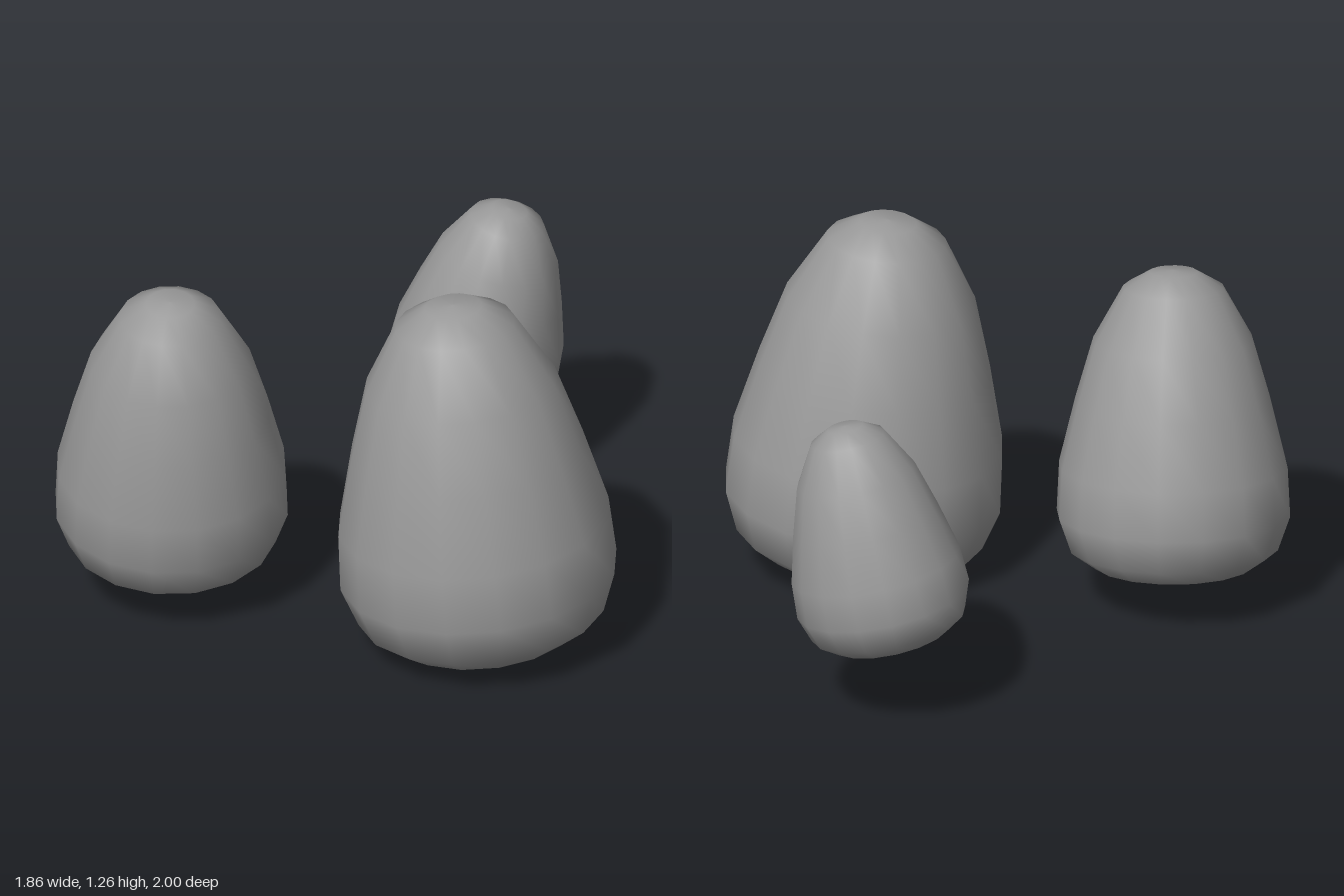
import * as THREE from 'three';

// Egg-shaped stone profile, bottom pole to top pole: [radius, height]
const PROFILE = [
  [0, 0], [0.15, 0.007], [0.323, 0.043], [0.421, 0.113], [0.471, 0.255], [0.461, 0.455],
  [0.396, 0.72], [0.323, 0.972], [0.202, 1.19], [0.097, 1.253], [0, 1.261],
].map(([r, y]) => new THREE.Vector2(r, y));

// Each stone is the same shape, scaled, turned about its axis (degrees) and leaned
const STONES = [
  { name: 'largeStone', base: [0.48, 0.005, 0.166], scale: 1, turn: 6, lean: [-0.07, 0.05] },
  { name: 'mediumStone', base: [-0.562, 0.11, 0.577], scale: 0.84, turn: -13, lean: [0.1, 0.12] },
  { name: 'smallStone', base: [-0.389, 0.245, -0.69], scale: 0.628, turn: 1, lean: [0.21, -0.075] },
];

export function createModel() {
  const group = new THREE.Group();
  group.name = 'stones';
  const material = new THREE.MeshStandardMaterial({ color: 0x999999 });
  const up = new THREE.Vector3(0, 1, 0);

  for (const { name, base, scale, turn, lean } of STONES) {
    const geometry = new THREE.LatheGeometry(PROFILE, 16);
    geometry.rotateY(THREE.MathUtils.degToRad(turn));
    const stone = new THREE.Mesh(geometry, material);
    stone.name = name;
    stone.position.set(...base);
    stone.scale.setScalar(scale);
    const axis = new THREE.Vector3(lean[0], 1, lean[1]).normalize();
    stone.quaternion.setFromUnitVectors(up, axis);
    group.add(stone);
  }
  return group;
}
